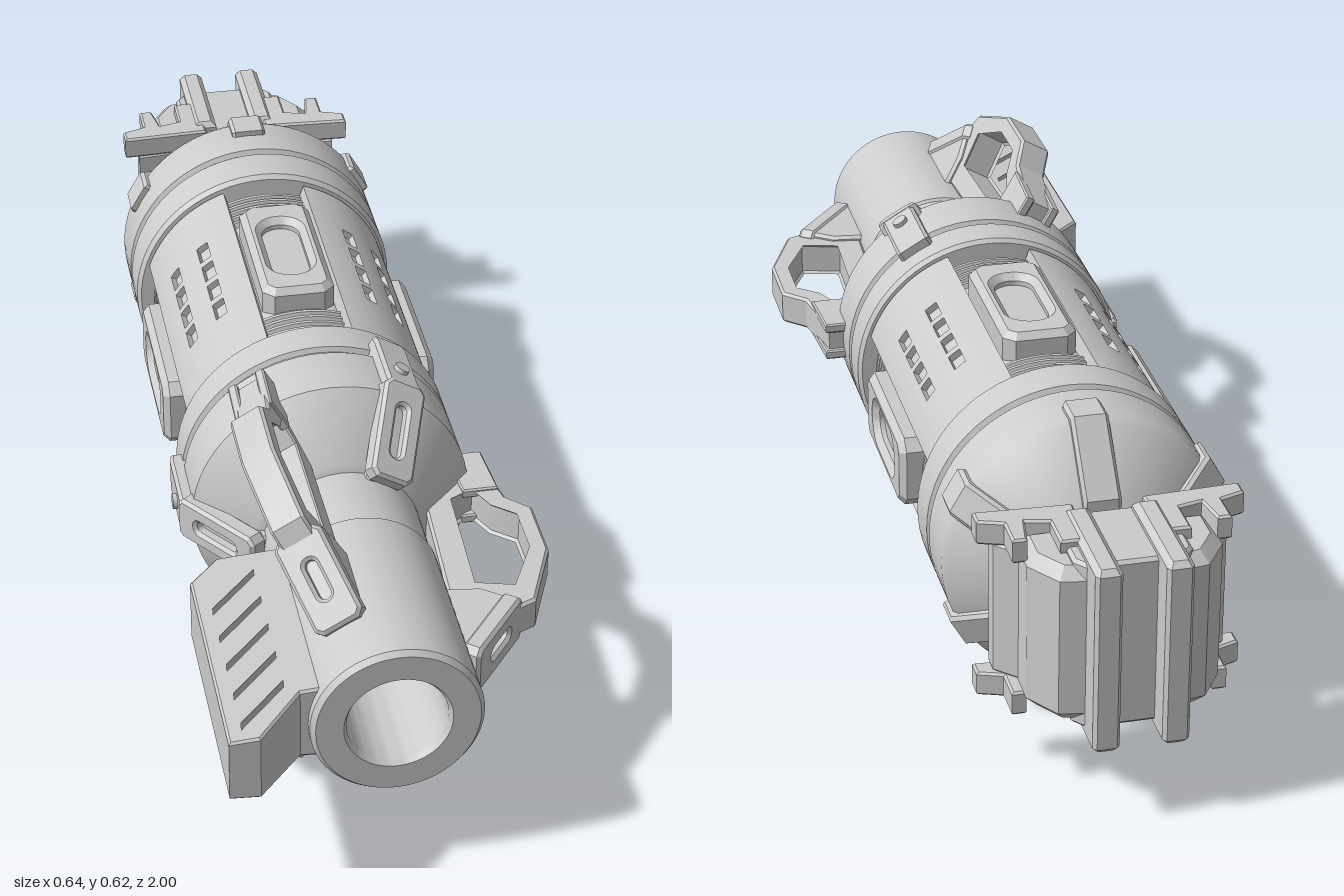
import * as THREE from 'three';
import { toCreasedNormals } from 'three/addons/utils/BufferGeometryUtils.js';

const material = new THREE.MeshStandardMaterial({ color: 0xcccccc, side: THREE.DoubleSide });
const DEG = Math.PI / 180;

function mesh(name, geometry, crease = 0.5) {
  const m = new THREE.Mesh(toCreasedNormals(geometry, crease), material);
  m.name = name;
  return m;
}

const polygon = (pts, Type = THREE.Shape) => new Type(pts.map(([a, b]) => new THREE.Vector2(a, b)));

// Side outline in (outward, along the axis), given a thickness across the part
function slab(pts, half, holes = [], bevel = 0.006) {
  const flip = (list) => list.map(([r, z]) => [r, -z]);
  const shape = polygon(flip(pts));
  shape.holes = holes.map((h) => polygon(flip(h), THREE.Path));
  const g = new THREE.ExtrudeGeometry(shape, {
    depth: 2 * (half - bevel), bevelEnabled: bevel > 0,
    bevelSize: bevel, bevelThickness: bevel, bevelOffset: -bevel, bevelSegments: 1,
  });
  return g.translate(0, 0, bevel - half).rotateX(-Math.PI / 2);
}

// Chamfered plate facing outward (+x), long along z, optionally with a rounded slot
function facePlate(w, l, depth, cut, slotW = 0, slotL = 0, bevel = 0.006) {
  const shape = polygon([
    [-w, -l + cut], [-w + cut, -l], [w - cut, -l], [w, -l + cut],
    [w, l - cut], [w - cut, l], [-w + cut, l], [-w, l - cut],
  ]);
  if (slotW) {
    const s = slotL - slotW;
    const slot = new THREE.Path();
    slot.absarc(0, s, slotW, 0, Math.PI, false);
    slot.absarc(0, -s, slotW, Math.PI, 2 * Math.PI, false);
    slot.closePath();
    shape.holes.push(slot);
  }
  const g = new THREE.ExtrudeGeometry(shape, {
    depth: depth - bevel, bevelSize: bevel, bevelThickness: bevel, bevelOffset: -bevel,
    bevelSegments: 1, curveSegments: 8,
  });
  return g.translate(0, 0, -depth).applyMatrix4(new THREE.Matrix4().makeBasis(
    new THREE.Vector3(0, 1, 0), new THREE.Vector3(0, 0, 1), new THREE.Vector3(1, 0, 0)));
}

// Curved block of a tube wall, angles in degrees
function arcBlock(r0, r1, a0, a1, z0, z1) {
  const s = new THREE.Shape();
  s.absarc(0, 0, r1, a0 * DEG, a1 * DEG, false);
  s.absarc(0, 0, r0, a1 * DEG, a0 * DEG, true);
  return new THREE.ExtrudeGeometry(s, { depth: z1 - z0, bevelEnabled: false, curveSegments: 8 })
    .translate(0, 0, z0);
}

function spoke(name, degrees, parts) {
  const g = new THREE.Group();
  g.name = name;
  g.rotation.z = degrees * DEG;
  g.add(...parts);
  return g;
}

function bodyCore() {
  const ribs = (from, count) => {
    const out = [];
    for (let i = 0; i < count; i++) {
      const z = from + i * 0.018;
      out.push([0.213, z], [0.222, z + 0.003], [0.222, z + 0.01], [0.213, z + 0.013]);
    }
    return out;
  };
  const profile = [
    [0, -0.8], [0.11, -0.8], [0.11, -0.745], [0.13, -0.735], [0.245, -0.64], [0.252, -0.625],
    [0.252, -0.525], [0.243, -0.52], [0.243, -0.51], [0.252, -0.505], [0.252, -0.428],
    [0.245, -0.418], [0.213, -0.415], ...ribs(-0.405, 5), ...ribs(0.012, 5),
    [0.213, 0.108], [0.245, 0.11], [0.252, 0.118], [0.252, 0.185], [0.243, 0.19], [0.243, 0.2],
    [0.252, 0.205], [0.252, 0.315], [0.155, 0.415], [0.142, 0.42], [0.142, 0.555], [0.147, 0.56],
    [0.147, 0.92], [0.139, 0.93], [0.092, 0.93], [0.086, 0.92], [0.086, 0.7], [0, 0.7],
  ].map(([r, z]) => new THREE.Vector2(r, z));
  return mesh('bodyAndBarrel', new THREE.LatheGeometry(profile, 72).rotateX(Math.PI / 2));
}

// Quarter shell with two rows of vent slots
function ventShell() {
  const z0 = -0.41, z1 = 0.105, R = 0.241;
  const blocks = [arcBlock(0.2, 0.229, 19, 71, z0 + 0.005, z1 - 0.005)];
  for (const [a, b] of [[19, 33], [39, 51], [57, 71]]) blocks.push(arcBlock(0.2, R, a, b, z0, z1));
  for (const a of [33, 51]) {
    let start = z0;
    for (let i = 0; i < 4; i++) {
      const c = -0.155 + (i - 1.5) * 0.066;
      blocks.push(arcBlock(0.2, R, a, a + 6, start, c - 0.025));
      start = c + 0.025;
    }
    blocks.push(arcBlock(0.2, R, a, a + 6, start, z1));
  }
  return blocks.map((g) => mesh('ventShellPart', g));
}

function windowFrame() {
  return [
    mesh('windowFrame', facePlate(0.067, 0.155, 0.055, 0.02, 0.036, 0.092, 0.012).translate(0.258, 0, -0.155)),
    mesh('windowFloor', new THREE.BoxGeometry(0.02, 0.09, 0.21).translate(0.227, 0, -0.155)),
  ];
}

function rearRib() {
  return [mesh('rearRibBar', slab([[0.2, -0.58], [0.262, -0.58], [0.262, -0.64], [0.15, -0.735], [0.11, -0.735]], 0.033))];
}

function frontClip() {
  const slope = facePlate(0.042, 0.095, 0.03, 0.012, 0.011, 0.05).rotateY(-36 * DEG).translate(0.222, 0, 0.382);
  return [
    mesh('clipSlope', slope),
    mesh('clipBed', slab([[0.23, 0.3], [0.25, 0.31], [0.155, 0.44], [0.13, 0.44], [0.13, 0.38]], 0.034)),
    mesh('clipTail', slab([[0.23, 0.16], [0.268, 0.16], [0.272, 0.18], [0.272, 0.31], [0.255, 0.335], [0.23, 0.32]], 0.034)),
    mesh('clipPin', new THREE.CylinderGeometry(0.014, 0.014, 0.012, 20).rotateZ(Math.PI / 2).translate(0.274, 0, 0.26)),
  ];
}

function loopHandle() {
  const outer = [
    [0.23, 0.265], [0.28, 0.265], [0.303, 0.39], [0.343, 0.43], [0.343, 0.555], [0.288, 0.69],
    [0.23, 0.715], [0.14, 0.7], [0.155, 0.4], [0.22, 0.33],
  ];
  const opening = [[0.2, 0.38], [0.25, 0.355], [0.275, 0.41], [0.316, 0.445], [0.316, 0.545], [0.265, 0.65], [0.19, 0.63]];
  const parts = [
    mesh('handleLoop', slab(outer, 0.032, [opening], 0.005)),
    mesh('handleFoot', slab([[0.12, 0.64], [0.2, 0.65], [0.24, 0.68], [0.23, 0.71], [0.16, 0.8], [0.12, 0.8]], 0.041)),
    mesh('handlePlate', facePlate(0.045, 0.088, 0.03, 0.012, 0.011, 0.036).rotateY(-38 * DEG).translate(0.212, 0, 0.76)),
  ];
  // Forked rear end
  for (const s of [-1, 1]) {
    parts.push(mesh('handleFork', slab([[0.22, 0.255], [0.288, 0.255], [0.295, 0.37], [0.23, 0.37]], 0.009, [], 0.003)
      .translate(0, s * 0.028, 0)));
  }
  return parts;
}

// Side fin with slanted through slots, thicker near the barrel
function slottedFin() {
  const holes = [];
  for (let i = 0; i < 5; i++) {
    const z = 0.62 + i * 0.075;
    holes.push([[0.27, z + 0.033], [0.27, z + 0.057], [0.18, z - 0.033], [0.18, z - 0.057]]);
  }
  const g = slab([[0.12, 0.52], [0.24, 0.52], [0.293, 0.575], [0.293, 1], [0.241, 1], [0.16, 0.905], [0.12, 0.905]],
    0.06, holes, 0.004);
  const p = g.attributes.position;
  for (let i = 0; i < p.count; i++) p.setY(i, p.getY(i) * (1 + 1.2 * (0.293 - p.getX(i))));
  g.computeVertexNormals();
  return [mesh('finBody', g)];
}

function rearBlock() {
  const g = new THREE.Group();
  g.name = 'rearBlock';
  const mirrored = (pts) => [...pts, ...pts.map(([x, z]) => [-x, z]).reverse()];
  g.add(mesh('rearCore', slab(mirrored([[0.1, -0.77], [0.1, -0.92], [0.08, -0.945]]), 0.155)));
  for (const s of [-1, 1]) {
    const flip = (pts) => pts.map(([x, z]) => [s * x, z]);
    g.add(
      mesh('rearPlate', slab(flip([[0.036, -0.78], [0.036, -0.992], [0.042, -1], [0.076, -1], [0.082, -0.992], [0.082, -0.78]]), 0.172, [], 0.01)),
      mesh('rearCheek', slab(flip([[0.07, -0.79], [0.165, -0.79], [0.165, -0.875], [0.125, -0.935], [0.07, -0.945]]), 0.145, [], 0.02)),
      mesh('rearWing', slab(flip([[0.09, -0.765], [0.2, -0.755], [0.2, -0.785], [0.165, -0.82], [0.09, -0.82]]), 0.125)),
    );
    // Stepped brackets above and below
    for (const t of [-1, 1]) {
      g.add(mesh('rearBracket', slab(flip([
        [0.06, -0.76], [0.228, -0.752], [0.228, -0.785], [0.185, -0.8], [0.185, -0.86],
        [0.16, -0.86], [0.15, -0.8], [0.11, -0.81], [0.11, -0.88], [0.06, -0.88],
      ]), 0.022, [], 0.004).translate(0, t * 0.145, 0)));
    }
  }
  return g;
}

export function createModel() {
  const model = new THREE.Group();
  model.name = 'device';
  const axis = new THREE.Group();
  axis.name = 'axis';
  axis.position.set(-0.025, 0.3125, 0);
  model.add(axis);

  axis.add(bodyCore(), rearBlock());
  for (let i = 0; i < 4; i++) {
    axis.add(spoke('ventShell', i * 90, ventShell()), spoke('window', i * 90, windowFrame()));
  }
  for (let i = 0; i < 6; i++) axis.add(spoke('rearRib', 30 + i * 60, rearRib()));
  for (let i = 0; i < 3; i++) {
    axis.add(spoke('handle', i * 120, loopHandle()), spoke('frontClip', 60 + i * 120, frontClip()));
  }
  axis.add(spoke('slottedFin', 180, slottedFin()));
  return model;
}
